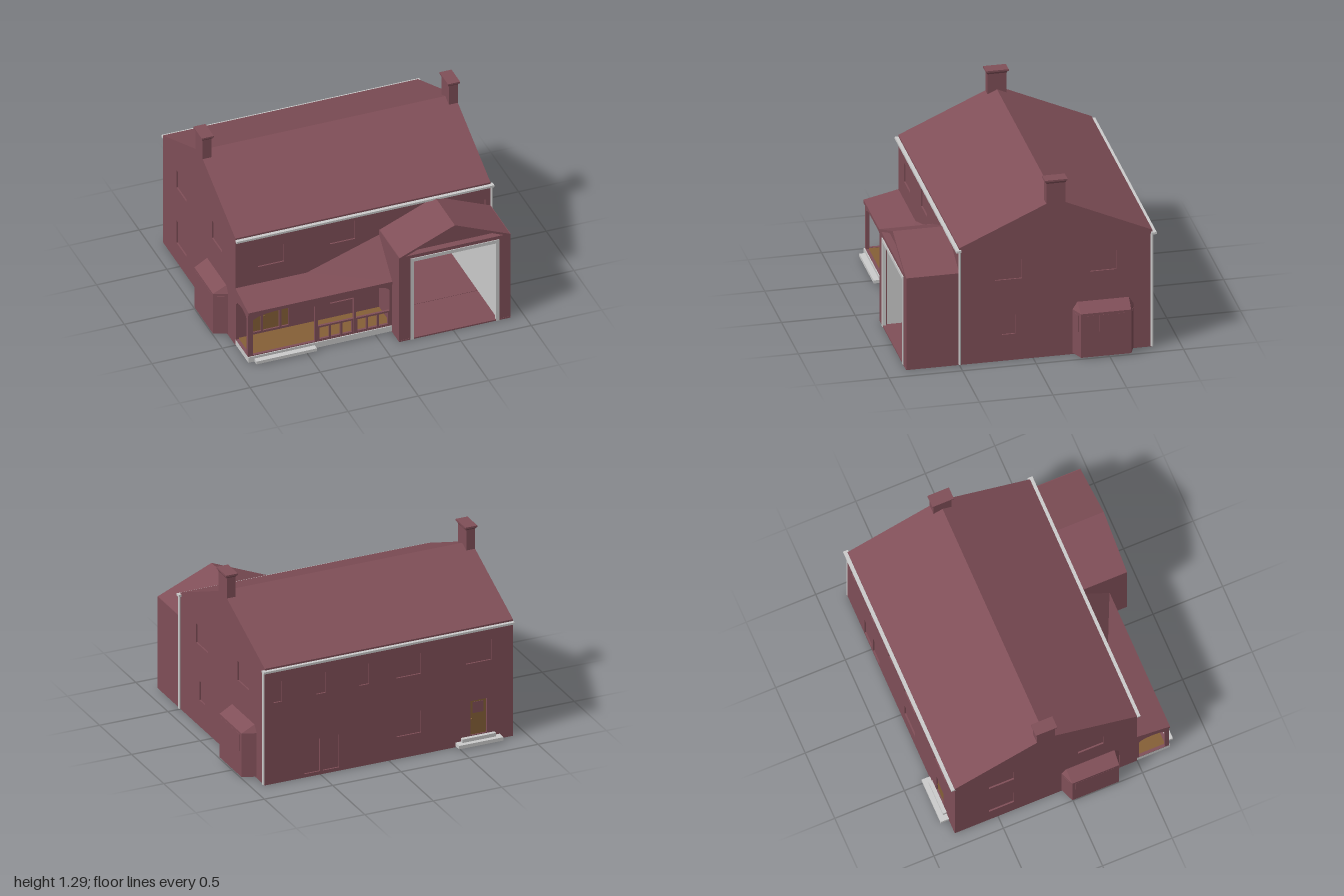
import * as THREE from 'three';
import { ConvexGeometry } from 'three/addons/geometries/ConvexGeometry.js';

const mat = (color) => new THREE.MeshStandardMaterial({ color, flatShading: true, side: THREE.DoubleSide });
const RED = mat(0x804f58), GOLD = mat(0x856037), GREY = mat(0xcccccc);
const W = 0.907, ZF = 0.5, ZB = -0.81, RIDGE = -0.155, T = 0.02;

// Each face: turn about y, sign of the horizontal coordinate, axis and direction of its outward side
const FACES = {
  front: [0, 1, 'z', 1], back: [Math.PI, -1, 'z', -1],
  right: [Math.PI / 2, -1, 'x', 1], left: [-Math.PI / 2, 1, 'x', -1],
};

export function createModel() {
  const root = new THREE.Group();
  const add = (name, geo, material = RED, parent = root) => {
    const m = new THREE.Mesh(geo, material);
    m.name = name;
    parent.add(m);
    return m;
  };
  // Box given by its limits
  const box = (name, x0, x1, y0, y1, z0, z1, material = RED) => {
    const m = add(name, new THREE.BoxGeometry(x1 - x0, y1 - y0, z1 - z0), material);
    m.position.set((x0 + x1) / 2, (y0 + y1) / 2, (z0 + z1) / 2);
    return m;
  };
  // Slab cut from an outline in world coordinates, its outer side lying at `at`
  const slab = (name, face, at, depth, pts, holes = [], material = RED) => {
    const [turn, s, axis, dir] = FACES[face];
    const vec = (list) => list.map(([u, v]) => new THREE.Vector2(u * s, v));
    const shape = new THREE.Shape(vec(pts));
    holes.forEach((h) => shape.holes.push(new THREE.Path(vec(h))));
    const m = add(name, new THREE.ExtrudeGeometry(shape, { depth, bevelEnabled: false }), material);
    m.rotation.y = turn;
    m.position[axis] = at - dir * depth;
    return m;
  };
  const rect = ([a, b, c, d]) => [[a, c], [b, c], [b, d], [a, d]];
  // Wall with recessed window panes, each window as [u0, u1, y0, y1, material]
  const wall = (name, face, at, pts, windows) => {
    slab(name, face, at, T, pts, windows.map(rect));
    const dir = FACES[face][3];
    windows.forEach((w) => slab(w[4] ? 'doorPanel' : 'windowPane', face, at - dir * 0.011, 0.009, rect(w), [], w[4] || RED));
  };

  // House walls
  wall('frontWall', 'front', ZF,
    [[-W, 0], [0.195, 0], [0.195, 0.64], [0.825, 0.64], [0.825, 0], [W, 0], [W, 0.84], [-W, 0.84]],
    [[-0.745, -0.56, 0.585, 0.725], [-0.235, -0.055, 0.64, 0.785], [0.69, 0.87, 0.665, 0.725],
      [-0.235, -0.055, 0.165, 0.315], [-0.78, -0.725, 0.07, 0.315, GOLD],
      [-0.71, -0.595, 0.07, 0.315, GOLD], [-0.58, -0.53, 0.07, 0.315, GOLD]]);
  wall('backWall', 'back', ZB, rect([-W, W, 0, 0.84]),
    [[0.78, 0.845, 0.59, 0.74], [0.46, 0.53, 0.59, 0.74], [0.145, 0.215, 0.59, 0.74],
      [-0.235, -0.055, 0.59, 0.74], [-0.75, -0.565, 0.59, 0.74], [-0.235, -0.055, 0.16, 0.32],
      [0.365, 0.48, 0.025, 0.265], [0.505, 0.62, 0.025, 0.265], [-0.715, -0.595, 0.065, 0.315, GOLD]]);
  const gable = [[ZF, 0], [ZF, 0.84], [RIDGE, 1.135], [ZB, 0.84], [ZB, 0]];
  const upper = [[0.075, 0.26, 0.59, 0.73], [-0.565, -0.385, 0.59, 0.73]];
  wall('rightWall', 'right', W, gable, [...upper, [0.12, 0.21, 0.19, 0.33]]);
  wall('leftWall', 'left', -W, gable, [...upper, [-0.565, -0.385, 0.15, 0.33]]);

  // Door lights and knobs
  [[-0.765, -0.74], [-0.695, -0.61], [-0.565, -0.545]].forEach(([a, b]) =>
    box('doorLight', a, b, 0.225, 0.3, 0.485, 0.492));
  box('doorLight', -0.695, -0.615, 0.22, 0.3, -0.802, -0.795);
  [[-0.698, 0.492], [-0.607, -0.802]].forEach(([x, z]) => {
    add('doorKnob', new THREE.SphereGeometry(0.006, 8, 6), GOLD).position.set(x, 0.18, z);
  });

  // Main roof, floor and inner partitions
  slab('mainRoof', 'right', W, 2 * W,
    [[ZF, 0.852], [RIDGE, 1.145], [ZB, 0.852], [ZB, 0.83], [RIDGE, 1.123], [ZF, 0.83]]);
  box('houseFloor', -W, W, 0.004, 0.012, ZB, ZF);
  box('garageFloor', 0.115, W, 0, 0.01, ZF, 0.862);
  for (const x of [0.195, 0.815]) box('garagePartition', x, x + 0.01, 0.012, 0.635, ZB + 0.03, 0.83, GREY);
  const lens = [[0.22, 0.345]];
  for (let i = 0; i <= 8; i++) lens.push([0.8 - i * 0.0725, 0.348 + 0.016 * Math.sin((Math.PI * i) / 8)]);
  slab('innerLintel', 'front', -0.76, 0.01, lens, [], GREY);

  // Chimneys with flared caps
  for (const s of [-1, 1]) {
    box('chimney', s * 0.875 - 0.032, s * 0.875 + 0.032, 1.02, 1.27, -0.22, -0.09);
    const flare = add('chimneyFlare', new THREE.CylinderGeometry(Math.SQRT1_2, Math.SQRT1_2 * 0.85, 0.016, 4).rotateY(Math.PI / 4));
    flare.scale.set(0.08, 1, 0.15);
    flare.position.set(s * 0.875, 1.27, -0.155);
    box('chimneyCap', s * 0.875 - 0.043, s * 0.875 + 0.043, 1.277, 1.289, -0.232, -0.078);
  }

  // Gutters and downpipes
  for (const [z0, z1] of [[0.49, 0.525], [-0.835, -0.8]]) {
    box('gutter', -W, 0.925, 0.825, 0.84, z0, z1, GREY);
    const pipe = add('downpipe', new THREE.CylinderGeometry(0.009, 0.009, 0.82, 8), GREY);
    pipe.position.set(0.916, 0.418, z0 > 0 ? 0.499 : -0.805);
  }

  // Garage: front wall, side walls, gabled roof and recessed pediment
  slab('garageFront', 'front', 0.86, 0.03,
    [[0.115, 0], [0.205, 0], [0.205, 0.635], [0.815, 0.635], [0.815, 0], [W, 0], [W, 0.67], [0.115, 0.67]]);
  box('garageSide', 0.115, 0.135, 0, 0.67, ZF, 0.855);
  box('garageSide', W - T, W, 0, 0.67, ZF, 0.855);
  slab('garageRoof', 'front', 0.862, 0.362,
    [[0.115, 0.668], [0.511, 0.835], [W, 0.668], [0.867, 0.668], [0.511, 0.818], [0.155, 0.668]]);
  slab('pediment', 'front', 0.81, 0.01, [[0.15, 0.668], [0.511, 0.82], [0.872, 0.668]]);
  box('pedimentFloor', 0.13, 0.89, 0.655, 0.669, 0.79, 0.855);
  slab('garageFrame', 'front', 0.866, 0.025,
    [[0.195, 0], [0.218, 0], [0.218, 0.62], [0.803, 0.62], [0.803, 0], [0.826, 0], [0.826, 0.645], [0.195, 0.645]], [], GREY);

  // Porch: base, deck and steps
  box('porchBase', -W, 0.115, 0.008, 0.05, ZF, 0.735, GREY);
  box('porchDeck', -0.895, 0.115, 0.05, 0.054, ZF, 0.71, GOLD);
  box('porchStep', -0.865, -0.435, 0.01, 0.032, 0.73, 0.775, GREY);
  box('backStep', -0.81, -0.485, 0.01, 0.035, -0.87, ZB, GREY);
  box('backStep', -0.77, -0.525, 0.035, 0.06, -0.837, ZB, GREY);

  // Porch arcades with shallow arches
  const arch = (a, b) => {
    const pts = [[a, 0.056], [b, 0.056]];
    for (let i = 0; i <= 12; i++) {
      const t = i / 12;
      pts.push([b + (a - b) * t, 0.335 + 0.037 * Math.sqrt(Math.sin(Math.PI * t))]);
    }
    return pts;
  };
  slab('porchArcade', 'front', 0.728, T, rect([-W, 0.115, 0.05, 0.385]),
    [arch(-0.87, -0.43), arch(-0.41, -0.155), arch(-0.14, 0.1)]);
  slab('porchSideArch', 'left', -W, T, rect([ZF, 0.728, 0.05, 0.385]), [arch(0.515, 0.7)]);

  // Porch railing
  for (const [a, b] of [[-0.41, -0.155], [-0.14, 0.1]]) {
    box('topRail', a, b, 0.157, 0.17, 0.71, 0.726);
    box('bottomRail', a, b, 0.054, 0.066, 0.71, 0.726);
    for (let i = 0; i < 4; i++) {
      const x = a + 0.006 + ((b - a - 0.012) * i) / 3;
      box('baluster', x - 0.006, x + 0.006, 0.06, 0.16, 0.71, 0.726);
    }
  }

  // Porch roof: lean-to, with a raised corner running up to the garage
  slab('porchRoof', 'right', 0.115, W + 0.115,
    [[ZF, 0.455], [0.737, 0.403], [0.737, 0.38], [ZF, 0.38]]);
  const v = (x, y, z) => new THREE.Vector3(x, y, z);
  add('porchRoofRise', new ConvexGeometry([
    v(-0.4, 0.455, ZF), v(0.118, 0.632, ZF), v(0.118, 0.404, 0.737), v(0.118, 0.42, ZF)]));

  // Bay windows
  const bay = (s, z0, z1) => {
    const pts = [];
    for (const y of [0.01, 0.328]) {
      pts.push(v(s * 0.9, y, z0), v(s * 0.9, y, z1), v(s, y, z0 + 0.04), v(s, y, z1 - 0.04));
    }
    pts.push(v(s * 0.9, 0.382, z0 + 0.035), v(s * 0.9, 0.382, z1 - 0.035));
    add('bayWindow', new ConvexGeometry(pts));
    const mid = (z0 + z1) / 2;
    for (const k of [-1, 0, 1]) {
      const pane = add('bayPane', new THREE.BoxGeometry(0.004, 0.12, 0.088));
      pane.position.set(s * 0.999, 0.25, mid + k * 0.1);
    }
    for (const e of [-1, 1]) {
      const pane = add('bayPane', new THREE.BoxGeometry(0.05, 0.12, 0.004));
      pane.position.set(s * 0.953, 0.25, (e < 0 ? z0 : z1) - e * 0.021);
      pane.rotation.y = s * e * Math.atan2(0.04, 0.1);
    }
  };
  bay(1, -0.685, -0.265);
  bay(-1, -0.045, 0.372);

  return root;
}
